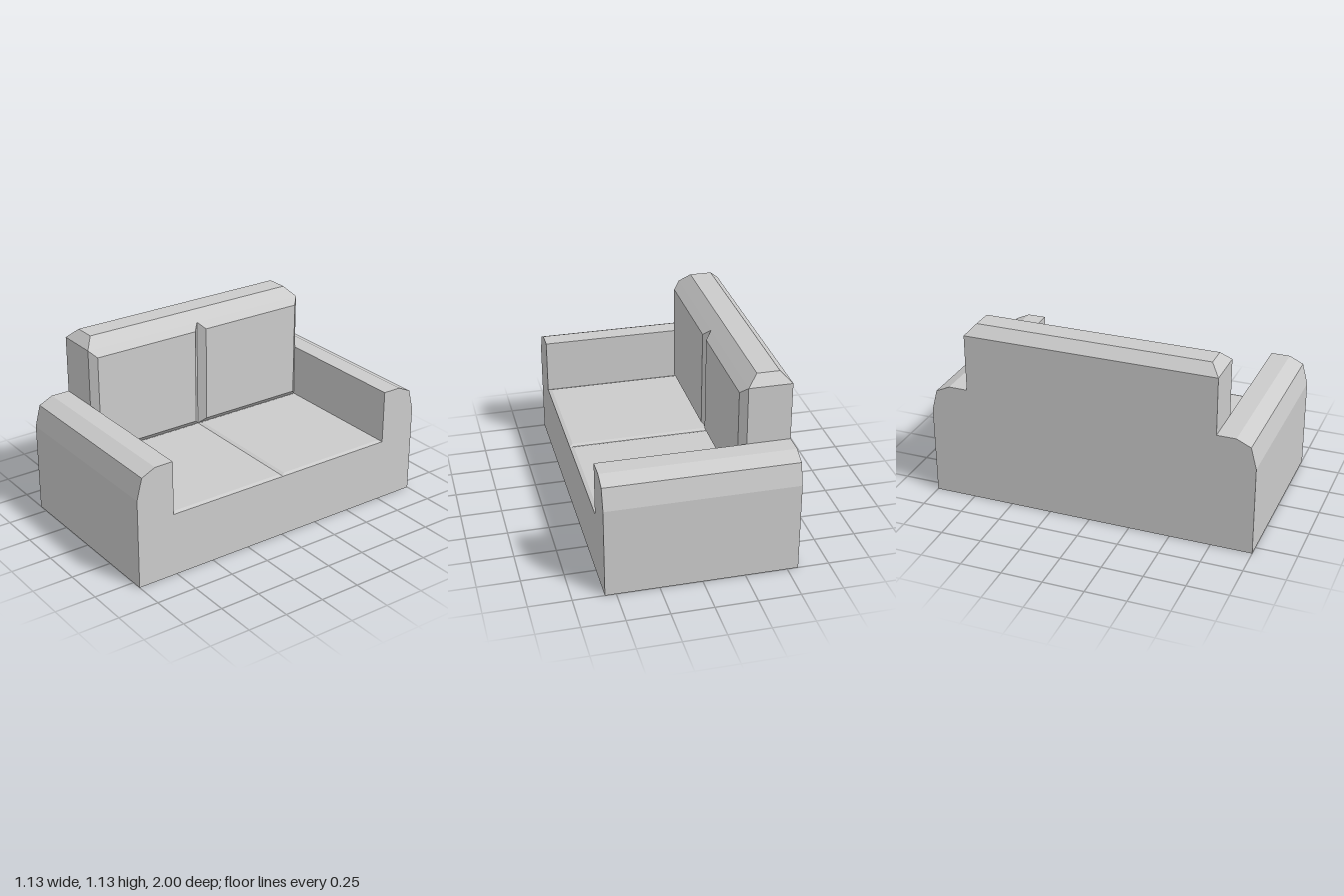
import * as THREE from 'three';

const X = 0.565;        // half depth of the sofa
const SEAT = 0.39;      // seat rim height
const INNER = 0.765;    // inner side of each arm
const BACK_X = -0.308;  // rim of the back cushions
const BACK_Y = 1.07;    // top rim of the backrest

const material = new THREE.MeshStandardMaterial({ color: 0xcccccc, flatShading: true, side: THREE.DoubleSide });

// Arm cross-section as [z, y], from the outer foot over the top to the seat
const armProfile = [[1, 0], [1, 0.55], [0.966, 0.68], [0.88, 0.72], [INNER, 0.72], [INNER, SEAT]];
const mirrored = (profile) => profile.map(([z, y]) => [-z, y]).reverse();

function addMesh(parent, name, geometry) {
  const mesh = new THREE.Mesh(geometry, material);
  mesh.name = name;
  parent.add(mesh);
}

// Flat-sided surface from a list of four-cornered faces
function quads(faces) {
  const points = faces.flatMap(([a, b, c, d]) => [a, b, c, a, c, d]);
  const geometry = new THREE.BufferGeometry();
  geometry.setAttribute('position', new THREE.Float32BufferAttribute(points.flat(), 3));
  geometry.computeVertexNormals();
  return geometry;
}

// Sweep a [z, y] profile along x
function strip(profile, x0, x1) {
  return quads(profile.slice(1).map(([z1, y1], i) => {
    const [z0, y0] = profile[i];
    return [[x0, y0, z0], [x1, y0, z0], [x1, y1, z1], [x0, y1, z1]];
  }));
}

// Bevelled pad: four sloping sides from the rim up to a flat face
function pad(rim, face) {
  const sides = rim.map((p, i) => {
    const j = (i + 1) % 4;
    return [p, rim[j], face[j], face[i]];
  });
  return quads([...sides, face]);
}

// Corner loops: horizontal (faces up) and upright (faces the seat side)
const flatLoop = (y, x0, x1, z0, z1) => [[x0, y, z1], [x1, y, z1], [x1, y, z0], [x0, y, z0]];
const uprightLoop = (x, y0, y1, z0, z1) => [[x, y0, z1], [x, y0, z0], [x, y1, z0], [x, y1, z1]];

// Flat end wall in the z-y plane
function wall(outline, x, turn) {
  const shape = new THREE.Shape(outline.map(([z, y]) => new THREE.Vector2(z, y)));
  return new THREE.ShapeGeometry(shape).rotateY(turn * Math.PI / 2).translate(x, 0, 0);
}

export function createModel() {
  const sofa = new THREE.Group();
  sofa.name = 'sofa';

  // Front panel and the taller back panel
  addMesh(sofa, 'frontPanel', wall([...armProfile, ...mirrored(armProfile)], X, 1));
  const backOutline = [...armProfile.slice(0, 5), [INNER, BACK_Y]];
  addMesh(sofa, 'backPanel', wall([...backOutline, ...mirrored(backOutline)], -X, -1));

  // Arms and backrest ends, hollow and open underneath
  const backEnd = [[INNER, 0.72], [INNER, BACK_Y]];
  for (const side of [1, -1]) {
    const pick = (profile) => (side > 0 ? profile : mirrored(profile));
    addMesh(sofa, 'arm', strip(pick(armProfile), -X, X));
    addMesh(sofa, 'backrestEnd', strip(pick(backEnd), -X, BACK_X));
  }

  // Bevelled backrest top
  addMesh(sofa, 'backrestTop', pad(
    flatLoop(BACK_Y, -X, BACK_X, -INNER, INNER),
    flatLoop(1.13, -0.503, -0.37, -0.71, 0.71)));

  // A pair of seat and back cushions
  for (const [z0, z1] of [[-INNER, 0], [0, INNER]]) {
    const s = 0.022, b = 0.04;
    addMesh(sofa, 'seatCushion', pad(
      flatLoop(SEAT, BACK_X, X, z0, z1),
      flatLoop(SEAT + 0.008, BACK_X + s, X - s, z0 + s, z1 - s)));
    addMesh(sofa, 'backCushion', pad(
      uprightLoop(BACK_X, SEAT, BACK_Y, z0, z1),
      uprightLoop(BACK_X + b, SEAT + b, BACK_Y - b, z0 + b, z1 - b)));
  }
  return sofa;
}
